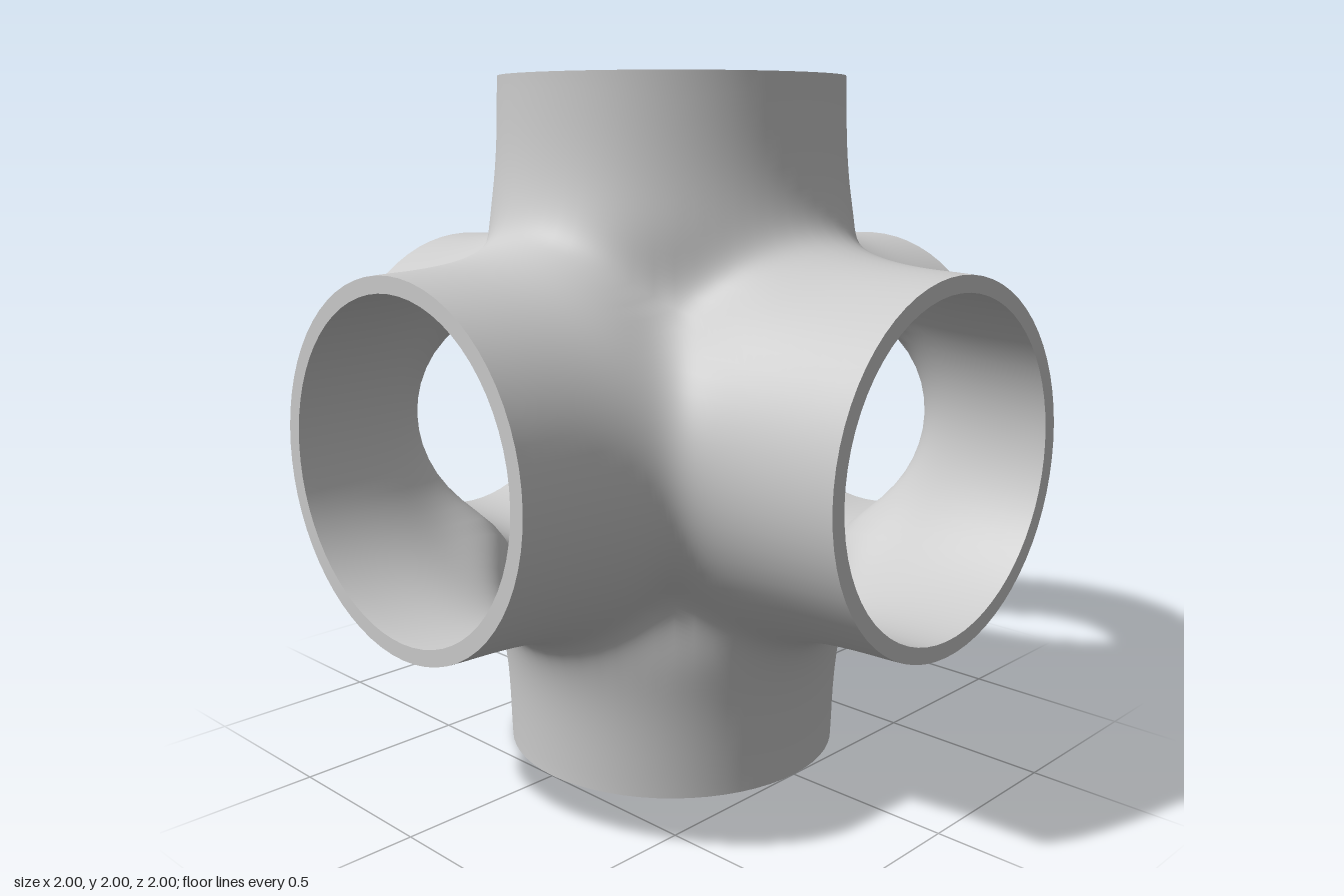
import * as THREE from 'three';

const R = 0.5, WALL = 0.045, BLEND = 9, DIP = 0.056;
const SIDES = 64, ROWS = 20;

// Smooth union of three crossing cylinders; negative inside.
function field(p) {
  const e = [Math.hypot(p.y, p.z), Math.hypot(p.x, p.z), Math.hypot(p.x, p.y)]
    .map((d) => Math.exp(-BLEND * (d - R)));
  const sum = e[0] + e[1] + e[2];
  const triple = 27 * e[0] * e[1] * e[2] / sum ** 3;
  return -Math.log(sum) / BLEND + DIP * triple * triple;
}

function fieldNormal(p) {
  const h = 1e-4, n = new THREE.Vector3();
  for (const k of ['x', 'y', 'z']) {
    const a = p.clone(), b = p.clone();
    a[k] += h;
    b[k] -= h;
    n[k] = field(a) - field(b);
  }
  return n.normalize();
}

// Where a ray from the centre meets the blended surface.
function project(dir) {
  let lo = 0.3, hi = 1.5;
  for (let i = 0; i < 30; i++) {
    const mid = (lo + hi) / 2;
    if (field(dir.clone().multiplyScalar(mid)) < 0) lo = mid;
    else hi = mid;
  }
  return dir.clone().multiplyScalar(lo);
}

// One arm along +z, from its round mouth to the square seam with its neighbours.
function armGeometries() {
  const outer = { pos: [], nor: [], idx: [] };
  const inner = { pos: [], nor: [], idx: [] };
  for (let j = 0; j <= ROWS; j++) {
    const t = j / ROWS;
    for (let i = 0; i <= SIDES; i++) {
      const a = (i / SIDES) * Math.PI * 2, c = Math.cos(a), s = Math.sin(a);
      const m = Math.max(Math.abs(c), Math.abs(s));
      const mouth = new THREE.Vector3(R * c, R * s, 1);
      const seam = new THREE.Vector3(c / m, s / m, 1);
      let p = mouth, n = new THREE.Vector3(c, s, 0);
      if (j > 0) {
        p = project(mouth.clone().lerp(seam, t).normalize());
        n = fieldNormal(p);
      }
      const q = p.clone().addScaledVector(n, -WALL);
      outer.pos.push(p.x, p.y, p.z);
      outer.nor.push(n.x, n.y, n.z);
      inner.pos.push(q.x, q.y, q.z);
      inner.nor.push(-n.x, -n.y, -n.z);
      if (j < ROWS && i < SIDES) {
        const k = j * (SIDES + 1) + i, l = k + SIDES + 1;
        outer.idx.push(k, l, k + 1, k + 1, l, l + 1);
        inner.idx.push(k, k + 1, l, k + 1, l + 1, l);
      }
    }
  }
  return [outer, inner].map(({ pos, nor, idx }) => {
    const g = new THREE.BufferGeometry();
    g.setAttribute('position', new THREE.Float32BufferAttribute(pos, 3));
    g.setAttribute('normal', new THREE.Float32BufferAttribute(nor, 3));
    g.setIndex(idx);
    return g;
  });
}

export function createModel() {
  const model = new THREE.Group();
  model.name = 'sixWayPipeJunction';
  const material = new THREE.MeshStandardMaterial({ color: 0xcccccc });
  const [outer, inner] = armGeometries();
  const rim = new THREE.RingGeometry(R - WALL, R, SIDES).translate(0, 0, 1);
  const parts = { outerWall: outer, innerWall: inner, rim };

  // Six identical arms around the centre
  const arms = {
    frontArm: [0, 0, 1], backArm: [0, 0, -1],
    leftArm: [1, 0, 0], rightArm: [-1, 0, 0],
    topArm: [0, 1, 0], bottomArm: [0, -1, 0],
  };
  const forward = new THREE.Vector3(0, 0, 1);
  for (const [name, axis] of Object.entries(arms)) {
    const arm = new THREE.Group();
    arm.name = name;
    for (const [part, geometry] of Object.entries(parts)) {
      const mesh = new THREE.Mesh(geometry, material);
      mesh.name = part;
      arm.add(mesh);
    }
    arm.quaternion.setFromUnitVectors(forward, new THREE.Vector3(...axis));
    arm.position.y = 1;
    model.add(arm);
  }
  return model;
}
